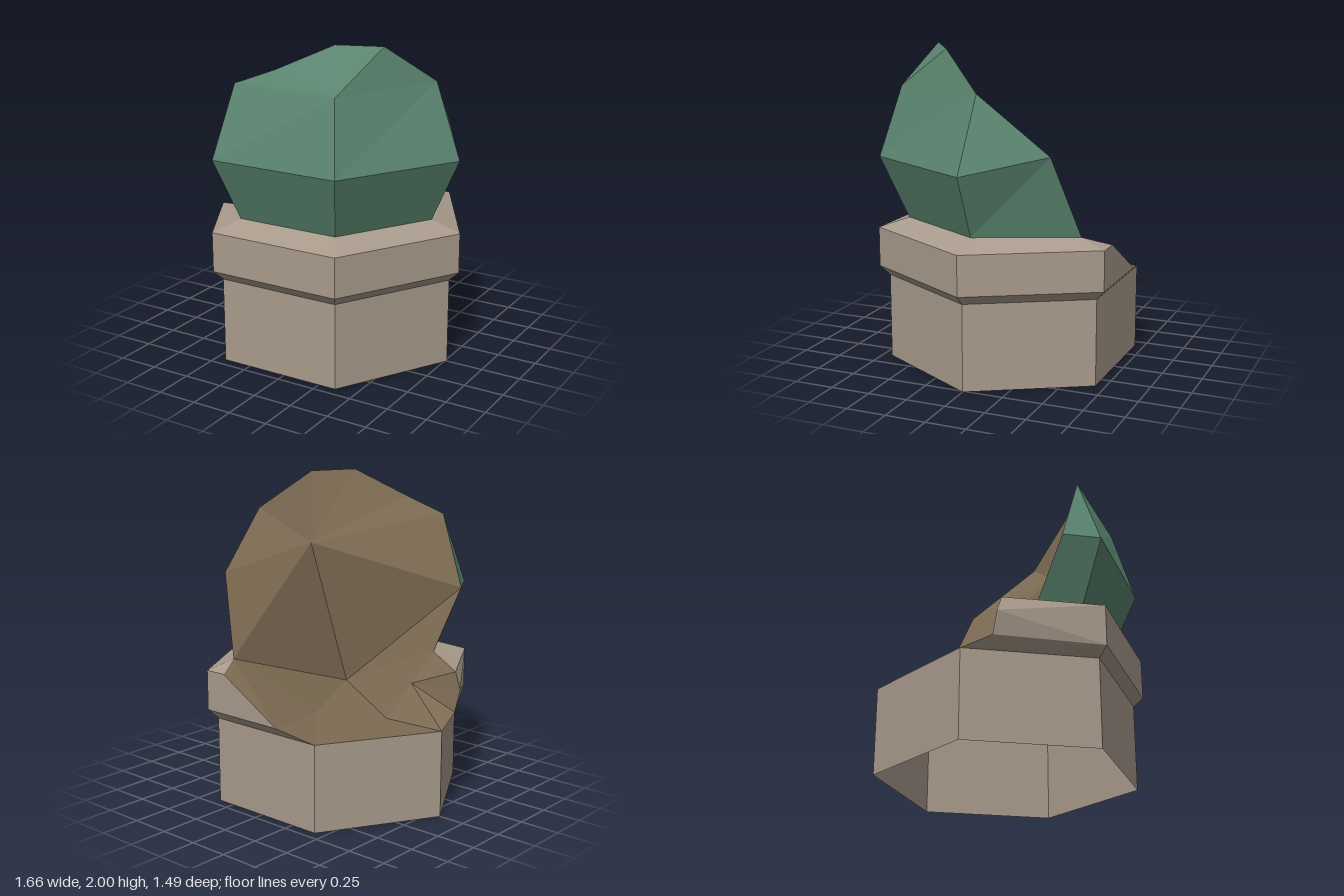
import * as THREE from 'three';

// Six corners of a hexagon ring; 0 is +x, 1 front left, 2 front right, 3 -x, 4 and 5 the back
function ring(radius, y) {
  return Array.from({ length: 6 }, (_, k) => {
    const a = (k * Math.PI) / 3;
    return [-0.034 + radius * Math.cos(a), y, radius * Math.sin(a)];
  });
}

// Flat-faced surface from convex polygons, each split into a fan
function surface(name, polygons, material) {
  const positions = [];
  for (const poly of polygons) {
    for (let i = 1; i < poly.length - 1; i++) positions.push(...poly[0], ...poly[i], ...poly[i + 1]);
  }
  const geometry = new THREE.BufferGeometry();
  geometry.setAttribute('position', new THREE.Float32BufferAttribute(positions, 3));
  geometry.computeVertexNormals();
  const mesh = new THREE.Mesh(geometry, material);
  mesh.name = name;
  return mesh;
}

// Wall panels between two rings, one for each listed side
function panels(lower, upper, sides) {
  return sides.map((k) => {
    const n = (k + 1) % 6;
    return [lower[n], lower[k], upper[k], upper[n]];
  });
}

function material(name, color) {
  const m = new THREE.MeshStandardMaterial({ color, side: THREE.DoubleSide, flatShading: true });
  m.name = name;
  return m;
}

export function createModel() {
  const stone = material('stone', 0xa99b8c);
  const green = material('greenRoof', 0x5b8670);
  const earth = material('brokenCore', 0x7d6b53);

  // Rings from the ground up
  const ground = ring(0.797, 0);
  const wallTop = ring(0.797, 0.54);
  const rimLow = ring(0.86, 0.6);
  const rimHigh = ring(0.86, 0.85);
  const domeLow = ring(0.67, 0.91);
  const domeMid = ring(0.845, 1.3);
  const domeHigh = ring(0.7, 1.74);

  // Jagged edge of the break: over the dome, then down through the rim
  const domeLeftLow = [-0.505, 0.91, 0.345];
  const domeLeftMid = [-0.575, 1.3, 0.53];
  const shoulder = [-0.39, 1.745, 0.577];
  const crestA = [-0.14, 1.84, 0.53];
  const crestB = [0.2, 2, 0.41];
  const crestC = [0.43, 1.985, 0.245];
  const sideHigh = [0.63, 1.755, -0.04];
  const sideMid = [0.525, 1.4, -0.455];
  const sideLow = [0.335, 0.9, -0.58];
  domeLow[5] = sideLow;
  domeHigh[0] = sideHigh;
  domeHigh[2] = shoulder;
  const rimBackHigh = [0.25, 0.85, -0.745];
  const rimBackLow = [-0.18, 0.6, -0.745];
  const backCorner = wallTop[4];
  const sideCorner = wallTop[3];
  const chipLow = [-0.795, 0.61, 0.178];
  const chipMid = [-0.81, 0.75, 0.21];
  const chipHigh = [-0.765, 0.85, 0.22];

  // Points inside the break
  const overhang = [0.365, 1.53, 0.165];
  const hollow = [0.229, 0.585, 0.364];
  const floorBack = [-0.09, 0.57, -0.31];
  const floorSide = [-0.4, 0.53, 0.01];
  const ledge = [-0.46, 0.73, 0.18];

  const wall = surface('towerWall', panels(ground, wallTop, [0, 1, 2, 3, 4, 5]), stone);

  const rim = surface('towerRim', [
    ...panels(wallTop, rimLow, [0, 1, 5]),
    ...panels(rimLow, rimHigh, [0, 1, 5]),
    ...panels(rimHigh, domeLow, [0, 1, 5]),
    // chipped end on the -x side
    [sideCorner, wallTop[2], rimLow[2], chipLow],
    [chipLow, rimLow[2], chipMid],
    [chipMid, rimLow[2], rimHigh[2]],
    [chipMid, rimHigh[2], chipHigh],
    [chipHigh, rimHigh[2], domeLow[2], domeLeftLow],
    // sloping end at the back
    [wallTop[5], backCorner, rimBackLow, rimLow[5]],
    [rimLow[5], rimBackLow, rimBackHigh, rimHigh[5]],
    [rimHigh[5], rimBackHigh, sideLow],
  ], stone);

  const dome = surface('brokenDome', [
    ...panels(domeLow, domeMid, [0, 1]),
    ...panels(domeMid, domeHigh, [0, 1]),
    [domeLeftLow, domeLow[2], domeMid[2], domeLeftMid],
    [domeLeftMid, domeMid[2], shoulder],
    [domeLow[0], sideLow, sideMid, domeMid[0]],
    [domeMid[0], sideMid, sideHigh],
    [domeHigh[1], crestB, crestA, shoulder],
    [domeHigh[1], crestC, crestB],
    [domeHigh[1], sideHigh, crestC],
  ], green);

  // Exposed inside: upper hollow face, then the rubble floor
  const core = surface('brokenCore', [
    [overhang, domeLeftMid, shoulder],
    [overhang, shoulder, crestA],
    [overhang, crestA, crestB],
    [overhang, crestB, crestC],
    [overhang, crestC, sideHigh],
    [overhang, sideHigh, sideMid],
    [overhang, sideMid, sideLow],
    [hollow, domeLeftMid, overhang],
    [hollow, overhang, sideLow],
    [hollow, domeLeftLow, domeLeftMid],
    [hollow, sideLow, floorBack],
    [floorBack, sideLow, rimBackLow],
    [sideLow, rimBackHigh, rimBackLow],
    [floorBack, rimBackLow, backCorner],
    [floorBack, backCorner, floorSide],
    [backCorner, sideCorner, floorSide],
    [hollow, floorBack, floorSide],
    [floorSide, sideCorner, ledge],
    [sideCorner, chipLow, ledge],
    [ledge, chipLow, chipMid],
    [ledge, chipMid, chipHigh],
    [ledge, chipHigh, domeLeftLow],
    [hollow, floorSide, ledge],
    [hollow, ledge, domeLeftLow],
  ], earth);

  const model = new THREE.Group();
  model.name = 'ruinedTower';
  model.add(wall, rim, dome, core);
  return model;
}
